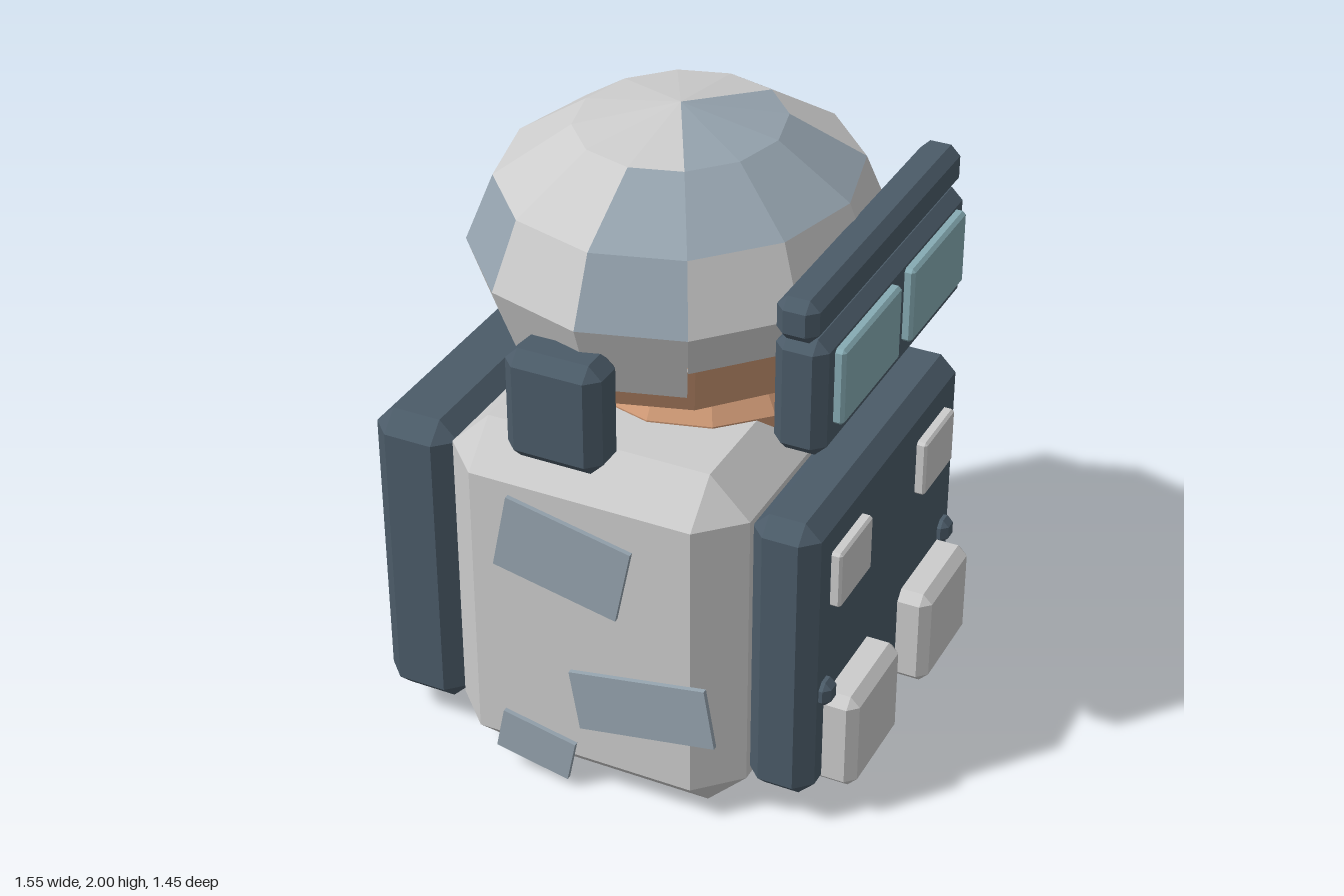
import * as THREE from 'three';
import { ConvexGeometry } from 'three/addons/geometries/ConvexGeometry.js';

const paint = (color) => new THREE.MeshStandardMaterial({ color, flatShading: true });

// Box with 45 degree chamfers on every edge, given by its bounds
function chamferBox([x0, x1], [y0, y1], [z0, z1], c) {
  const half = [(x1 - x0) / 2, (y1 - y0) / 2, (z1 - z0) / 2];
  const points = [];
  for (const sx of [-1, 1]) for (const sy of [-1, 1]) for (const sz of [-1, 1]) {
    for (let full = 0; full < 3; full++) {
      const h = half.map((v, i) => (i === full ? v : v - c));
      points.push(new THREE.Vector3(sx * h[0], sy * h[1], sz * h[2]));
    }
  }
  return new ConvexGeometry(points).translate((x0 + x1) / 2, (y0 + y1) / 2, (z0 + z1) / 2);
}

// Twelve-sided dome of flat cells, raised over the face; keeps the cells that pass the test
function helmetCells(test) {
  const rings = [[2, 0], [1.946, 0.5], [1.8, 0.866], [1.6, 1]];
  const verts = [];
  for (let k = -6; k < 6; k++) {
    const overFace = k >= -2 && k < 2;
    const low = overFace ? [1.48, 0.955] : [1.37, 0.87];
    const levels = [...rings, low, [low[0], low[1] * 0.88]];
    const point = (i, n) => {
      const a = (n * Math.PI) / 6, [y, r] = levels[i];
      return [-0.012 + 0.605 * r * Math.cos(a), y, 0.66 * r * Math.sin(a)];
    };
    for (let i = 0; i < 5; i++) {
      if (!test(i, k)) continue;
      const [A, B, C, D] = [point(i, k), point(i, k + 1), point(i + 1, k + 1), point(i + 1, k)];
      if (i > 0) verts.push(...A, ...B, ...C);
      verts.push(...A, ...C, ...D);
    }
  }
  const g = new THREE.BufferGeometry();
  g.setAttribute('position', new THREE.Float32BufferAttribute(verts, 3));
  g.computeVertexNormals();
  return g;
}

export function createModel() {
  const model = new THREE.Group();
  const grey = paint(0xcccccc), dark = paint(0x4b5b68), skin = paint(0xd09a76);
  const blue = paint(0x95a3ae), glass = paint(0x86abb3);
  const add = (name, geometry, material) => {
    const mesh = new THREE.Mesh(geometry, material);
    mesh.name = name;
    model.add(mesh);
    return mesh;
  };

  // Body, chest plate and backpack
  add('torso', chamferBox([-0.49, 0.465], [0, 1.165], [-0.66, 0.66], 0.125), grey);
  add('chestPlate', chamferBox([0.46, 0.67], [0.105, 1.065], [-0.555, 0.555], 0.05), dark);
  add('backpack', chamferBox([-0.755, -0.48], [0.08, 1.09], [-0.58, 0.58], 0.06), dark);
  for (const z of [-0.36, 0, 0.36]) {
    add('backpackFoot', chamferBox([-0.775, -0.67], [0.035, 0.225], [z - 0.09, z + 0.09], 0.03), dark);
  }

  // Mirrored parts on both sides of the body and head
  for (const s of [-1, 1]) {
    const span = (a, b) => (s > 0 ? [a, b] : [-b, -a]);
    add('chestPouch', chamferBox([0.62, 0.772], [0.12, 0.445], span(0.105, 0.455), 0.03), grey);
    add('chestLabel', chamferBox([0.65, 0.702], [0.75, 0.935], span(0.203, 0.432), 0.008), grey);
    add('pouchButton', chamferBox([0.63, 0.702], [0.43, 0.51], span(0.42, 0.495), 0.02), dark);
    add('lens', chamferBox([0.64, 0.697], [1.37, 1.607], span(0.042, 0.447), 0.01), glass);
    add('earpiece', chamferBox([-0.215, 0.085], [1.17, 1.52], span(0.565, 0.725), 0.04), dark);
    // Tilted cloth patches: x, y, width, height, tilt
    for (const [x, y, w, h, tilt] of [
      [-0.065, 0.838, 0.405, 0.25, -0.2],
      [0.188, 0.38, 0.445, 0.2, 0.17],
      [-0.167, 0.127, 0.245, 0.142, -0.2],
    ]) {
      const patch = add('clothPatch', new THREE.BoxGeometry(w, h, 0.016), blue);
      patch.position.set(x, y, s * 0.667);
      patch.rotation.z = s * tilt;
    }
  }

  // Neck and head
  const neck = new THREE.LatheGeometry(
    [[0, 1.02], [0.355, 1.02], [0.37, 1.17], [0.33, 1.23], [0, 1.23]].map((p) => new THREE.Vector2(...p)), 12);
  add('neck', neck.translate(0.06, 0, 0), skin);
  const head = new THREE.SphereGeometry(1, 12, 6).scale(0.53, 0.36, 0.595);
  add('head', head.translate(0.02, 1.48, 0), skin);

  // Helmet with tinted cells
  const tinted = (i, k) =>
    (i === 0 && k >= -2 && k < 2) || (i === 1 && k >= -1 && k < 3) || (i === 2 && (k === 2 || k === 4));
  grey.side = blue.side = THREE.DoubleSide;
  add('helmet', helmetCells((i, k) => !tinted(i, k)), grey);
  add('helmetTint', helmetCells(tinted), blue);

  // Goggles
  add('goggleFrame', chamferBox([0.51, 0.667], [1.285, 1.65], [-0.52, 0.52], 0.035), dark);
  add('goggleBrow', chamferBox([0.52, 0.645], [1.645, 1.775], [-0.535, 0.535], 0.03), dark);
  return model;
}
